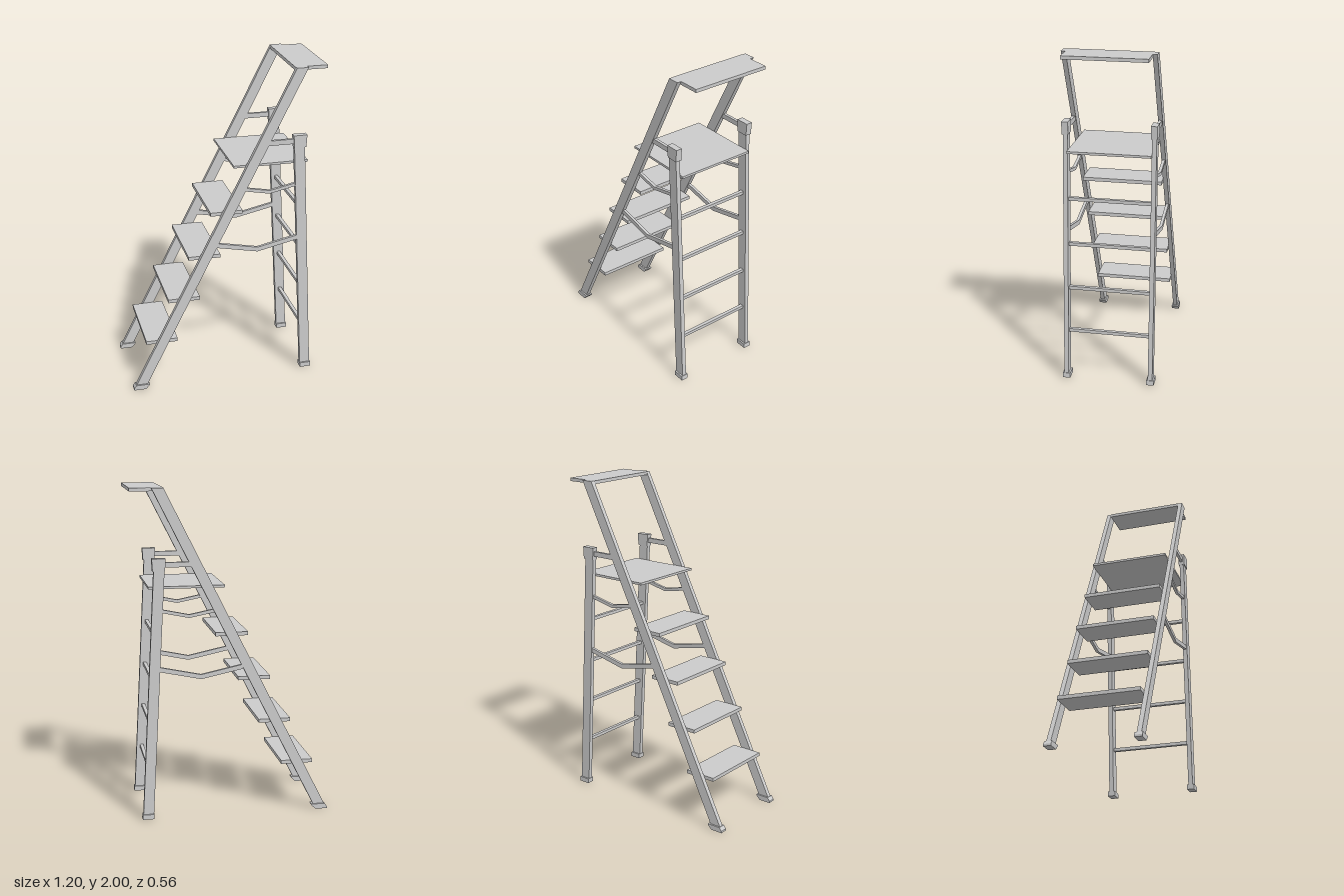
import * as THREE from 'three';

const material = new THREE.MeshStandardMaterial({ color: 0xcccccc, flatShading: true });

// Side outline in x/y, given a thickness across z
function slab(name, points, zCentre, depth) {
  const shape = new THREE.Shape(points.map(([x, y]) => new THREE.Vector2(x, y)));
  const geometry = new THREE.ExtrudeGeometry(shape, { depth, bevelEnabled: false });
  geometry.translate(0, 0, zCentre - depth / 2);
  const mesh = new THREE.Mesh(geometry, material);
  mesh.name = name;
  return mesh;
}

function board(name, x0, x1, y, thickness, width) {
  const mesh = new THREE.Mesh(new THREE.BoxGeometry(x1 - x0, thickness, width), material);
  mesh.position.set((x0 + x1) / 2, y, 0);
  mesh.name = name;
  return mesh;
}

// Shallow V-shaped bar through three points
function brace(name, path, t, z) {
  const upper = path.map(([x, y]) => [x, y + t / 2]);
  const lower = path.map(([x, y]) => [x, y - t / 2]).reverse();
  return slab(name, [...lower.reverse(), ...upper.reverse()], z, 0.018);
}

export function createModel() {
  const ladder = new THREE.Group();
  ladder.name = 'stepLadder';

  // Both side frames
  for (const side of [1, -1]) {
    const z = side * 0.257;
    const frame = new THREE.Group();
    frame.name = side > 0 ? 'nearSideFrame' : 'farSideFrame';
    frame.add(
      slab('climbingRail', [[-0.59, 0.015], [-0.52, 0.015], [0.475, 2], [0.405, 2]], z, 0.027),
      slab('supportLeg', [[0.487, 0.02], [0.551, 0.02], [0.467, 1.54], [0.403, 1.54]], z, 0.027),
      slab('legCap', [[0.402, 1.52], [0.475, 1.52], [0.479, 1.595], [0.397, 1.595]], z, 0.038),
      slab('supportFoot', [[0.486, 0.005], [0.556, 0.005], [0.554, 0.035], [0.484, 0.035]], z, 0.046),
      slab('railFoot', [[-0.6, 0], [-0.525, 0], [-0.5, 0.026], [-0.5, 0.032], [-0.585, 0.032], [-0.6, 0.012]], z, 0.046),
      slab('armBar', [[0.225, 1.542], [0.41, 1.542], [0.41, 1.572], [0.24, 1.572]], z, 0.018),
      brace('upperBrace', [[0.09, 1.283], [0.26, 1.25], [0.43, 1.286]], 0.02, z),
      brace('lowerBrace', [[-0.08, 0.936], [0.19, 0.88], [0.45, 0.936]], 0.028, z)
    );
    ladder.add(frame);
  }

  // Treads with a matching back rung at each height
  const treads = [[-0.508, 0.307], [-0.364, 0.58], [-0.235, 0.854], [-0.098, 1.13]];
  for (const [x, y] of treads) {
    ladder.add(board('tread', x, x + 0.197, y, 0.022, 0.488));
    const legX = 0.519 - (y - 0.02) * 0.0553;
    ladder.add(board('backRung', legX - 0.011, legX + 0.011, y, 0.02, 0.488));
  }

  // Standing platform and top shelf
  ladder.add(board('platform', 0.043, 0.498, 1.42, 0.014, 0.488));
  ladder.add(board('topShelf', 0.402, 0.6, 1.99, 0.02, 0.488));
  return ladder;
}
